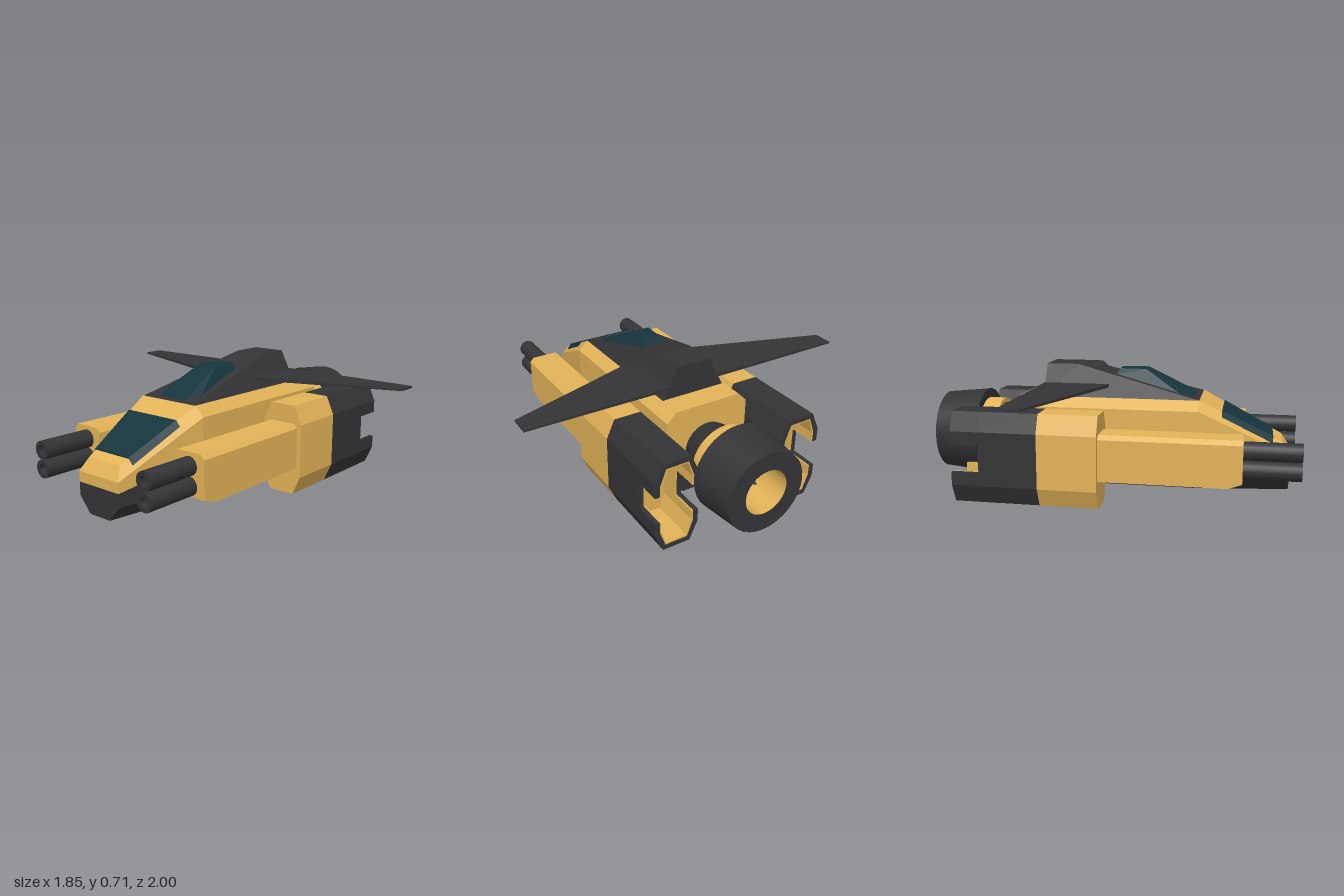
import * as THREE from 'three';
import { ConvexGeometry } from 'three/addons/geometries/ConvexGeometry.js';

const mat = (color, extra = {}) => {
  const m = new THREE.MeshStandardMaterial(extra);
  m.color.setHex(color);
  return m;
};
const yellow = mat(0xe3b358), dark = mat(0x343437), teal = mat(0x16353d);
const lining = mat(0xe3b358, { side: THREE.DoubleSide });

function add(parent, name, geometry, material) {
  const mesh = new THREE.Mesh(geometry, material);
  mesh.name = name;
  parent.add(mesh);
  return mesh;
}

// Faceted solid from half-points [x, y, z], mirrored over x = 0
function symmetric(points) {
  return new ConvexGeometry(points.flatMap(([x, y, z]) =>
    [new THREE.Vector3(x, y, z), new THREE.Vector3(-x, y, z)]));
}

// Straight extrusion of an outline between two z positions
function prism(points, z0, z1, hole) {
  const toVec = (list) => list.map(([x, y]) => new THREE.Vector2(x, y));
  const shape = new THREE.Shape(toVec(points));
  if (hole) shape.holes.push(new THREE.Path(toVec(hole)));
  return new THREE.ExtrudeGeometry(shape, { depth: z1 - z0, bevelEnabled: false }).translate(0, 0, z0);
}

// Revolved profile of [radius, z]; every segment gets its own ring so edges stay sharp
function revolved(parent, name, profile, material, segments = 32) {
  const group = new THREE.Group();
  group.name = name;
  for (let i = 0; i < profile.length - 1; i++) {
    const pts = [profile[i], profile[i + 1]].map(([r, z]) => new THREE.Vector2(r, z));
    add(group, name + 'Surface', new THREE.LatheGeometry(pts, segments).rotateX(Math.PI / 2), material);
  }
  parent.add(group);
  return group;
}

// Upper half of the chamfered nacelle outline, from height n upward
function arch(inset, n) {
  const w = 0.12 - inset, h = 0.245 - inset, cx = 0.045 - inset * 0.5, cy = 0.1 - inset * 0.5;
  return [[w, n], [w, h - cy], [w - cx, h], [cx - w, h], [cx - w - cx, h - cy], [-w, n]];
}
const octagon = (inset) => {
  const top = arch(inset, 0).slice(1, 5);
  return [...top, ...top.map(([x, y]) => [-x, -y])];
};

function buildHull(parent) {
  const hull = new THREE.Group();
  hull.name = 'hull';
  parent.add(hull);
  const section = (z) => [[0.24, 0.3, z], [0.24, 0.49, z], [0.19, 0.54, z]];
  add(hull, 'upperBody', symmetric([...section(-0.51), ...section(0.47)]), yellow);
  add(hull, 'nose', symmetric([...section(0.47),
    [0.14, 0.2, 0.95], [0.14, 0.255, 0.95], [0.11, 0.32, 0.91]]), yellow);
  add(hull, 'belly', symmetric([
    ...[-0.51, 0.47].flatMap((z) => [[0.24, 0.3, z], [0.24, 0.15, z], [0.14, 0.05, z]]),
    [0.14, 0.2, 0.95], [0.14, 0.13, 0.95], [0.07, 0.05, 0.95]]), dark);
  // Windshield wraps over the nose chamfers
  add(hull, 'windshield', symmetric([
    [0.168, 0.488, 0.59], [0.193, 0.458, 0.59], [0.12, 0.352, 0.86], [0.145, 0.318, 0.86],
    [0.16, 0.44, 0.59], [0.11, 0.31, 0.86]]), teal);
  // Raised spine with canopy
  add(hull, 'spine', symmetric([
    [0.183, 0.54, 0.47], [0.183, 0.54, -0.375], [0.095, 0.708, -0.2], [0.095, 0.708, -0.375]]), dark);
  add(hull, 'canopy', symmetric([
    [0.09, 0.545, 0.445], [0.128, 0.566, 0.36], [0.07, 0.655, 0.01],
    [0.058, 0.684, 0.17], [0.048, 0.684, 0.025], [0.07, 0.6, 0.03]]), teal);
}

function buildEngine(parent) {
  const engine = new THREE.Group();
  engine.name = 'engine';
  engine.position.y = 0.298;
  parent.add(engine);
  revolved(engine, 'engineMount', [[0.165, -0.66], [0.125, -0.5]], dark);
  revolved(engine, 'engineNeck', [[0, -0.77], [0.19, -0.77], [0.19, -0.66], [0, -0.66]], yellow);
  revolved(engine, 'cowl', [[0.12, -1], [0.218, -1], [0.242, -0.757], [0.18, -0.757]], dark);
  revolved(engine, 'nozzleLining', [[0.12, -1], [0.12, -0.8], [0, -0.8]], lining);
  revolved(engine, 'nozzleSpike', [[0, -0.93], [0.055, -0.8]], dark);
}

function buildSide(parent, side) {
  // Tapered flat wing
  const wing = [[0.12, -0.01, 0.009], [0.12, -0.38, 0.009], [0.925, -0.27, 0.005], [0.925, -0.38, 0.005]]
    .flatMap(([x, z, t]) => [1, -1].map((d) => new THREE.Vector3(side * x, 0.6 + d * t, z)));
  add(parent, 'wing', new ConvexGeometry(wing), dark);

  const pod = new THREE.Group();
  pod.name = side > 0 ? 'leftPod' : 'rightPod';
  pod.position.set(side * 0.365, 0.245, 0);
  parent.add(pod);

  // Nacelle: solid front, hollow notched rear
  add(pod, 'nacelleFront', prism(octagon(0), -0.335, -0.02), yellow);
  add(pod, 'nacelleCore', prism(octagon(0.03), -0.55, -0.33), yellow);
  for (const [name, outer, inner, material, end] of [
    ['nacelleShell', 0, 0.026, dark, -0.8], ['nacelleLining', 0.026, 0.034, yellow, -0.798]]) {
    add(pod, name, prism(octagon(outer), -0.65, -0.335, octagon(inner)), material);
    for (const turn of [0, Math.PI]) {
      const rim = [...arch(outer, 0.075), ...arch(inner, 0.075).reverse()];
      add(pod, name + 'Rim', prism(rim, end, -0.65), material).rotation.z = turn;
    }
  }

  // Gun housing with chamfered top edges and chin
  const ring = (z, bottom) => [[0.095, bottom, z], [0.095, 0.125, z], [0.073, 0.148, z]];
  add(pod, 'gunHousing', symmetric([...ring(-0.03, -0.095), [0.095, -0.095, 0.64], ...ring(0.71, -0.07)]), yellow);
  for (const y of [0.08, -0.018]) {
    revolved(pod, 'gunBarrel', [[0, 0.94], [0.026, 0.94], [0.026, 1], [0.048, 1], [0.048, 0.7]]
      .reverse(), mat(0x343437, { side: THREE.DoubleSide }), 20).position.y = y;
  }
}

export function createModel() {
  const ship = new THREE.Group();
  ship.name = 'spaceship';
  buildHull(ship);
  buildEngine(ship);
  for (const side of [1, -1]) buildSide(ship, side);
  // Revolved parts are closed by both faces
  dark.side = yellow.side = THREE.DoubleSide;
  return ship;
}
